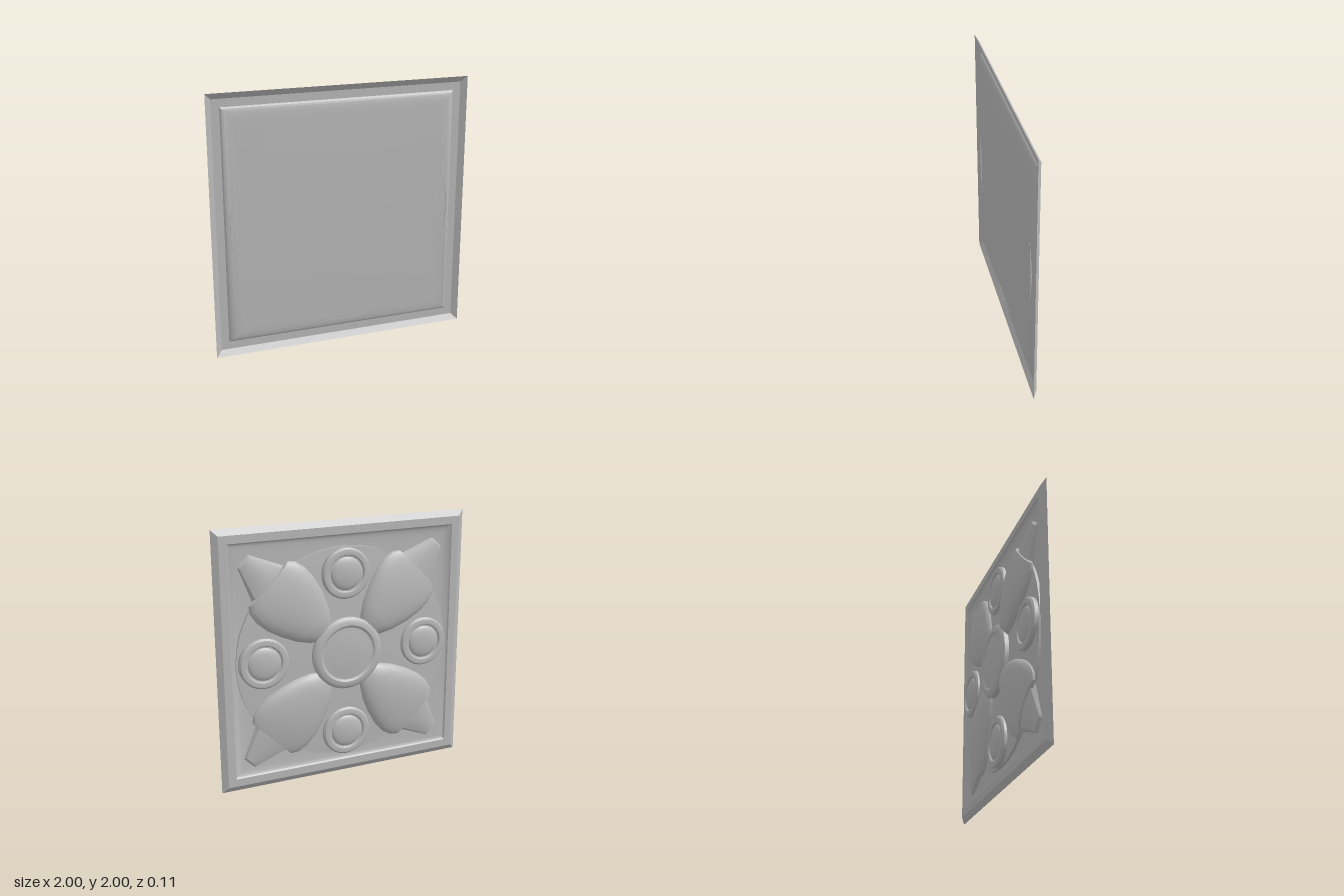
import * as THREE from 'three';
import { toCreasedNormals } from 'three/addons/utils/BufferGeometryUtils.js';

const stone = new THREE.MeshStandardMaterial({ color: 0xb8b8b8, side: THREE.DoubleSide });
stone.name = 'plain stone';

function mesh(geometry, name, crease = 0.5) {
  const m = new THREE.Mesh(toCreasedNormals(geometry, crease), stone);
  m.name = name;
  return m;
}

// Surface through rows of points that all have the same length
function loft(rows) {
  const n = rows[0].length, index = [];
  for (let i = 0; i < rows.length - 1; i++) {
    for (let j = 0; j < n - 1; j++) {
      const a = i * n + j, b = a + 1, c = a + n, d = c + 1;
      index.push(a, b, c, b, d, c);
    }
  }
  const g = new THREE.BufferGeometry();
  g.setAttribute('position', new THREE.Float32BufferAttribute(rows.flat(2), 3));
  g.setIndex(index);
  return g;
}

// Round relief rising along +z from [radius, height] pairs
function round(profile, segments) {
  const pts = profile.map(([r, h]) => new THREE.Vector2(r, h));
  return new THREE.LatheGeometry(pts, segments).rotateX(Math.PI / 2);
}

// Leaf section: stations are [distance from centre, half width, crest height]
function leaf(stations, base, sides, power) {
  return loft(stations.map(([d, w, top]) => {
    const row = [];
    for (let i = 0; i <= sides; i++) {
      const a = Math.PI * i / sides;
      row.push([w * Math.cos(a), d, base + (top - base) * Math.pow(Math.abs(Math.sin(a)), power)]);
    }
    return row;
  }));
}

export function createModel() {
  const model = new THREE.Group();
  model.name = 'ornamentalTile';

  // All relief is raised along local +z, which is the rear of the tile
  const relief = new THREE.Group();
  relief.name = 'relief';
  relief.rotation.y = Math.PI;
  model.add(relief);

  // Square frame, coved inner edge and flat panel as one thin sheet
  const squareRow = ([s, h]) =>
    [[-s, 1 - s, h], [s, 1 - s, h], [s, 1 + s, h], [-s, 1 + s, h], [-s, 1 - s, h]];
  const frame = [[1, -0.05], [0.955, -0.02], [0.895, -0.02]];
  const cove = [[0.895, -0.02], [0.885, -0.031], [0.865, -0.041], [0.835, -0.047], [0.79, -0.05], [0, -0.05]];
  relief.add(mesh(loft(frame.map(squareRow)), 'frame'));
  relief.add(mesh(loft(cove.map(squareRow)), 'panel', 0.7));

  const flower = new THREE.Group();
  flower.name = 'flower';
  flower.position.y = 0.985;
  relief.add(flower);

  // Low domed disc behind the petals
  const disc = mesh(round([[1, -0.05], [1, -0.03], [0.8, -0.02], [0.5, -0.01], [0, -0.005]], 40), 'backDisc');
  disc.scale.set(0.86, 0.82, 1);
  flower.add(disc);

  // Central boss with rim and shallow dome
  const centre = mesh(round([[0.275, -0.03], [0.28, 0.025], [0.27, 0.035], [0.25, 0.044], [0.222, 0.046],
    [0.205, 0.036], [0.19, 0.036], [0.15, 0.042], [0.08, 0.046], [0, 0.047]], 40), 'centreBoss');
  centre.position.y = 0.01;
  flower.add(centre);

  // Four smaller bosses
  const bossProfile = [[0.19, -0.045], [0.192, 0.002], [0.18, 0.014], [0.155, 0.018], [0.142, 0.016],
    [0.134, 0.004], [0.125, 0.004], [0.115, 0.014], [0.085, 0.023], [0.045, 0.028], [0, 0.03]];
  for (const [x, y] of [[0.655, 0.01], [-0.655, 0.01], [0, 0.62], [0, -0.63]]) {
    const boss = mesh(round(bossProfile, 32), 'smallBoss');
    boss.position.set(x, y, 0);
    flower.add(boss);
  }

  // Four diagonal petals, each with a flared outer tip
  const petalStations = [[0.235, 0.05, -0.02], [0.245, 0.08, 0.015], [0.29, 0.125, 0.038], [0.38, 0.18, 0.05],
    [0.5, 0.23, 0.056], [0.62, 0.262, 0.053], [0.72, 0.268, 0.04], [0.8, 0.25, 0.027],
    [0.845, 0.215, 0.016], [0.85, 0.2, -0.03]];
  const tipStations = [[0.74, 0.225, 0.012], [0.85, 0.168, 0.006], [0.97, 0.115, -0.008],
    [1.085, 0.065, -0.024], [1.1, 0.055, -0.046]];
  for (let i = 0; i < 4; i++) {
    const petal = new THREE.Group();
    petal.name = 'petal';
    petal.rotation.z = Math.PI / 4 + i * Math.PI / 2;
    petal.add(mesh(leaf(petalStations, -0.03, 16, 0.8), 'petalBody', 0.6));
    petal.add(mesh(leaf(tipStations, -0.047, 6, 0.7), 'petalTip', 0.4));
    flower.add(petal);
  }

  // Underside of one tip showing through the smooth face
  const under = loft([
    [[-0.74, 1.79, 0.051], [-0.49, 1.72, 0.053]],
    [[-0.82, 1.7, 0.051], [-0.61, 1.61, 0.056]],
    [[-0.82, 1.7, 0.051], [-0.72, 1.49, 0.053]],
  ]);
  model.add(mesh(under, 'tipUnderside', 0.1));
  return model;
}
